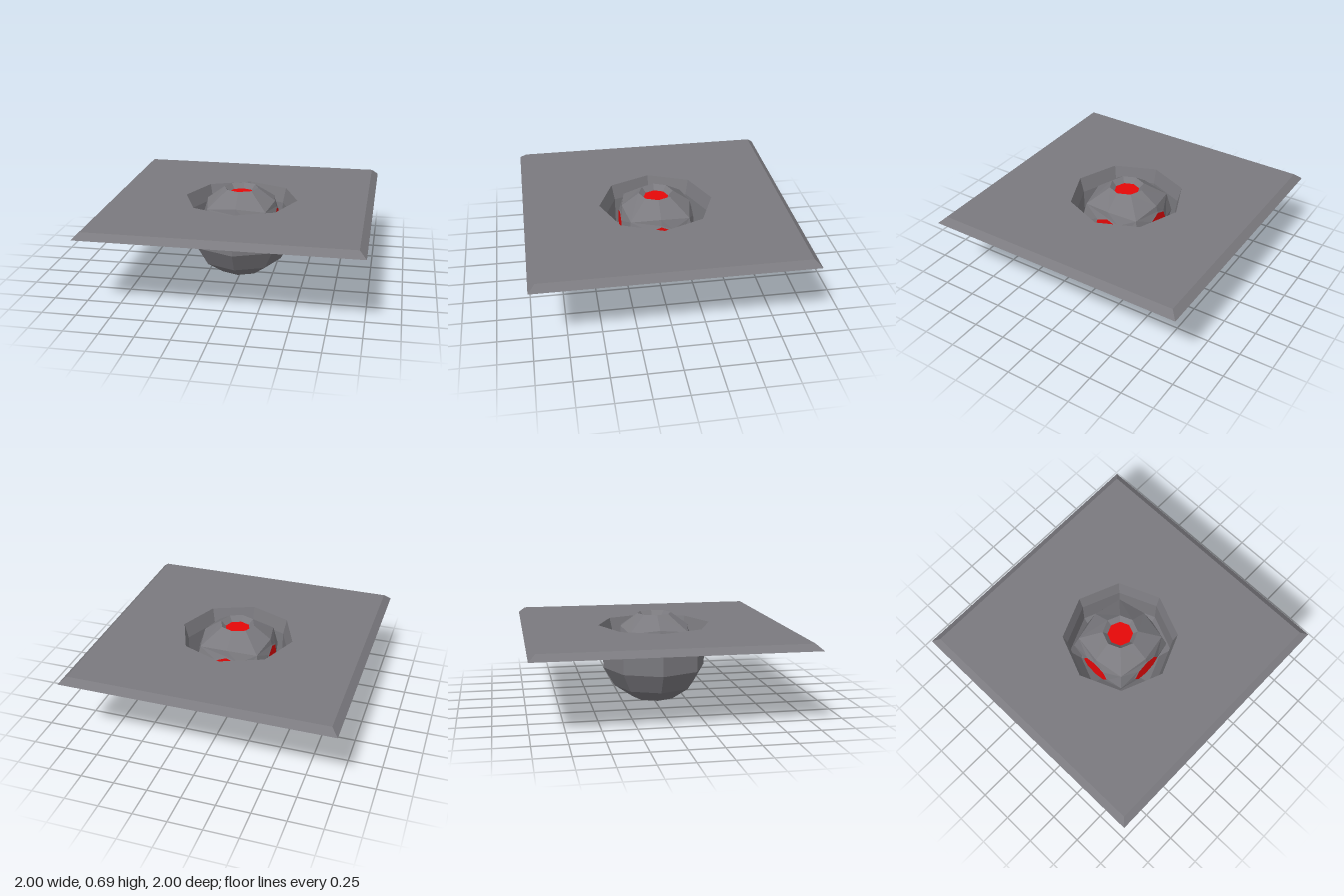
import * as THREE from 'three';

const grey = new THREE.MeshStandardMaterial({ color: 0x7b7a7f, side: THREE.DoubleSide, flatShading: true });
grey.name = 'grey metal';
const red = new THREE.MeshStandardMaterial({ color: 0xe60808, flatShading: true });
red.name = 'red lens';

const TOP = 0.605, RIM = 0.56, HOLE = 0.43;

function mesh(name, geometry, material) {
  const m = new THREE.Mesh(geometry, material);
  m.name = name;
  return m;
}

// Square sheet with an octagonal hole
function sheetGeometry() {
  const w = 0.95;
  const shape = new THREE.Shape([[-w, -w], [w, -w], [w, w], [-w, w]].map(([x, y]) => new THREE.Vector2(x, y)));
  const hole = [];
  for (let k = 0; k < 8; k++) {
    const a = -k * Math.PI / 4;
    hole.push(new THREE.Vector2(HOLE * Math.cos(a), HOLE * Math.sin(a)));
  }
  shape.holes.push(new THREE.Path(hole));
  return new THREE.ShapeGeometry(shape).rotateX(-Math.PI / 2).translate(0, TOP, 0);
}

// Eight points around +y
function ring(point) {
  return Array.from({ length: 8 }, (_, k) => {
    const a = k * Math.PI / 4;
    return point(Math.sin(a), Math.cos(a), k);
  });
}
const octagon = (r, y) => ring((s, c) => [r * s, y, r * c]);

// Bands of panels between successive rings, from the inside out
function loft(rings) {
  const pos = [];
  for (let j = 0; j < rings.length - 1; j++) {
    for (let k = 0; k < 8; k++) {
      const n = (k + 1) % 8;
      const a = rings[j][k], b = rings[j + 1][k], c = rings[j + 1][n], d = rings[j][n];
      pos.push(...a, ...b, ...c, ...a, ...c, ...d);
    }
  }
  const g = new THREE.BufferGeometry();
  g.setAttribute('position', new THREE.Float32BufferAttribute(pos, 3));
  g.computeVertexNormals();
  return g;
}

const lensGeometry = (r, y) => new THREE.CircleGeometry(r, 8).rotateX(-Math.PI / 2).translate(0, y, 0);

function ballSide(panel, lens) {
  const side = new THREE.Group();
  side.name = 'ballSide';
  side.add(mesh('ballPanel', panel, grey), mesh('lens', lens, red));
  return side;
}

export function createModel() {
  const model = new THREE.Group();
  model.name = 'socketedBall';

  // Open plate: sheet and sloping rim
  model.add(mesh('plate', sheetGeometry(), grey));
  const rim = new THREE.CylinderGeometry(0.95 * Math.SQRT2, Math.SQRT2, TOP - RIM, 4, 1, true);
  rim.rotateY(Math.PI / 4).translate(0, (TOP + RIM) / 2, 0);
  model.add(mesh('plateRim', rim, grey));

  // Eight-sided bowl hanging from the hole
  const profile = [[0, 0], [0.17, 0.035], [0.31, 0.13], [0.395, 0.275], [0.4, 0.49], [HOLE, TOP]];
  model.add(mesh('bowl', new THREE.LatheGeometry(profile.map(([x, y]) => new THREE.Vector2(x, y)), 8), grey));

  // Ball with a lens on each of its six sides
  const ball = new THREE.Group();
  ball.name = 'ball';
  ball.position.y = 0.42;

  // Top and bottom: recessed lens
  const capEdge = ring((s, c, k) => {
    const odd = k % 2 === 1, r = odd ? 0.22 * Math.SQRT2 : 0.26;
    return [r * s, odd ? 0.15 : 0.175, r * c];
  });
  const capPanel = loft([octagon(0.095, 0.23), octagon(0.13, 0.27), capEdge]);
  const capLens = lensGeometry(0.095, 0.23);
  for (const turn of [0, Math.PI]) {
    const cap = ballSide(capPanel, capLens);
    cap.rotation.x = turn;
    ball.add(cap);
  }

  // Four sides: nearly flat, lens flush with its frame
  const sideEdge = ring((s, c, k) => {
    if (k % 2 === 1) return [Math.sign(s) * 0.22, 0.22, Math.sign(c) * 0.15];
    return k % 4 === 0 ? [0, 0.26, 0.175 * c] : [0.25 * s, 0.25, 0];
  });
  const sidePanel = loft([octagon(0.12, 0.275), octagon(0.13, 0.27), sideEdge]).rotateX(Math.PI / 2);
  const sideLens = lensGeometry(0.12, 0.275).rotateX(Math.PI / 2);
  for (let i = 0; i < 4; i++) {
    const side = ballSide(sidePanel, sideLens);
    side.rotation.y = i * Math.PI / 2;
    ball.add(side);
  }
  model.add(ball);
  return model;
}
